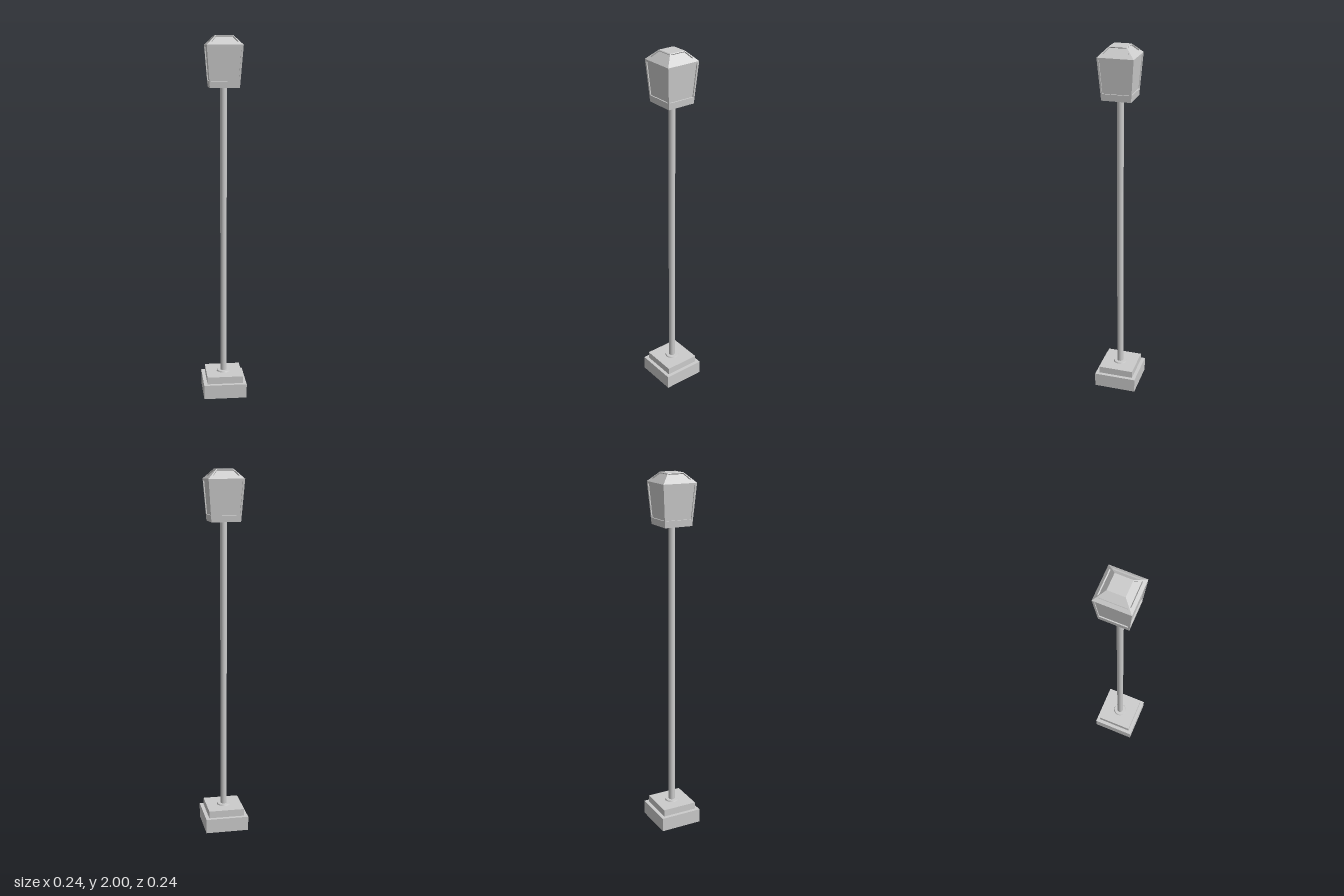
import * as THREE from 'three';

const material = new THREE.MeshStandardMaterial({ color: 0xcccccc });
const flatMaterial = new THREE.MeshStandardMaterial({ color: 0xcccccc, flatShading: true });

function addMesh(parent, name, geometry, y, mat = flatMaterial) {
  const mesh = new THREE.Mesh(geometry, mat);
  mesh.name = name;
  mesh.position.y = y;
  parent.add(mesh);
  return mesh;
}

// Front face of a square frustum, with a framed panel sunk into it.
// h0, h1: half widths at heights y0, y1; v0, v1: panel start and end up the slope
// u: panel width as a share of the face; depth: how far the panel is sunk
function recessedFace({ h0, y0, h1, y1, v0, v1, u, depth }) {
  const at = (s, v) => {
    const h = THREE.MathUtils.lerp(h0, h1, v);
    return new THREE.Vector3(s * h, THREE.MathUtils.lerp(y0, y1, v), h);
  };
  const ring = (s, a, b) => [at(-s, a), at(s, a), at(s, b), at(-s, b)];
  const inward = new THREE.Vector3(0, h1 - h0, -(y1 - y0)).normalize().multiplyScalar(depth);
  inward.y = Math.sign(h1 - h0) * Math.abs(inward.y);
  const outer = ring(1, 0, 1);
  const inner = ring(u, v0, v1);
  const sunk = inner.map((p) => p.clone().add(inward));

  const positions = [];
  const quad = (a, b, c, d) => [a, b, c, a, c, d].forEach((p) => positions.push(p.x, p.y, p.z));
  for (let i = 0; i < 4; i++) {
    const j = (i + 1) % 4;
    quad(outer[i], outer[j], inner[j], inner[i]); // frame
    quad(inner[i], inner[j], sunk[j], sunk[i]); // recess wall
  }
  quad(...sunk); // panel

  const geometry = new THREE.BufferGeometry();
  geometry.setAttribute('position', new THREE.Float32BufferAttribute(positions, 3));
  geometry.computeVertexNormals();
  return geometry;
}

function addFourSides(parent, name, spec) {
  const geometry = recessedFace(spec);
  for (let i = 0; i < 4; i++) {
    addMesh(parent, name, geometry, 0).rotation.y = (i * Math.PI) / 2;
  }
}

export function createModel() {
  const model = new THREE.Group();
  model.name = 'streetLamp';

  // Stepped plinth
  const base = new THREE.Group();
  base.name = 'base';
  addMesh(base, 'lowerStep', new THREE.BoxGeometry(0.24, 0.08, 0.24), 0.04);
  addMesh(base, 'upperStep', new THREE.BoxGeometry(0.2, 0.04, 0.2), 0.1);
  model.add(base);

  // Pole with its foot collar
  addMesh(model, 'poleCollar', new THREE.CylinderGeometry(0.036, 0.039, 0.007, 24), 0.1235, material);
  addMesh(model, 'pole', new THREE.CylinderGeometry(0.018, 0.018, 1.61, 24), 0.925, material);

  // Lantern: flared panelled body, hipped panelled roof, flat cap and floor
  const lantern = new THREE.Group();
  lantern.name = 'lantern';
  addFourSides(lantern, 'lanternSide', {
    h0: 0.079, y0: 1.728, h1: 0.096, y1: 1.95, v0: 0.16, v1: 0.95, u: 0.89, depth: 0.006,
  });
  addFourSides(lantern, 'roofSide', {
    h0: 0.096, y0: 1.95, h1: 0.045, y1: 2, v0: 0.31, v1: 0.93, u: 0.88, depth: 0.007,
  });
  const cap = new THREE.PlaneGeometry(0.09, 0.09).rotateX(-Math.PI / 2);
  addMesh(lantern, 'roofCap', cap, 2);
  const floor = new THREE.PlaneGeometry(0.158, 0.158).rotateX(Math.PI / 2);
  addMesh(lantern, 'lanternFloor', floor, 1.728);
  model.add(lantern);

  return model;
}
